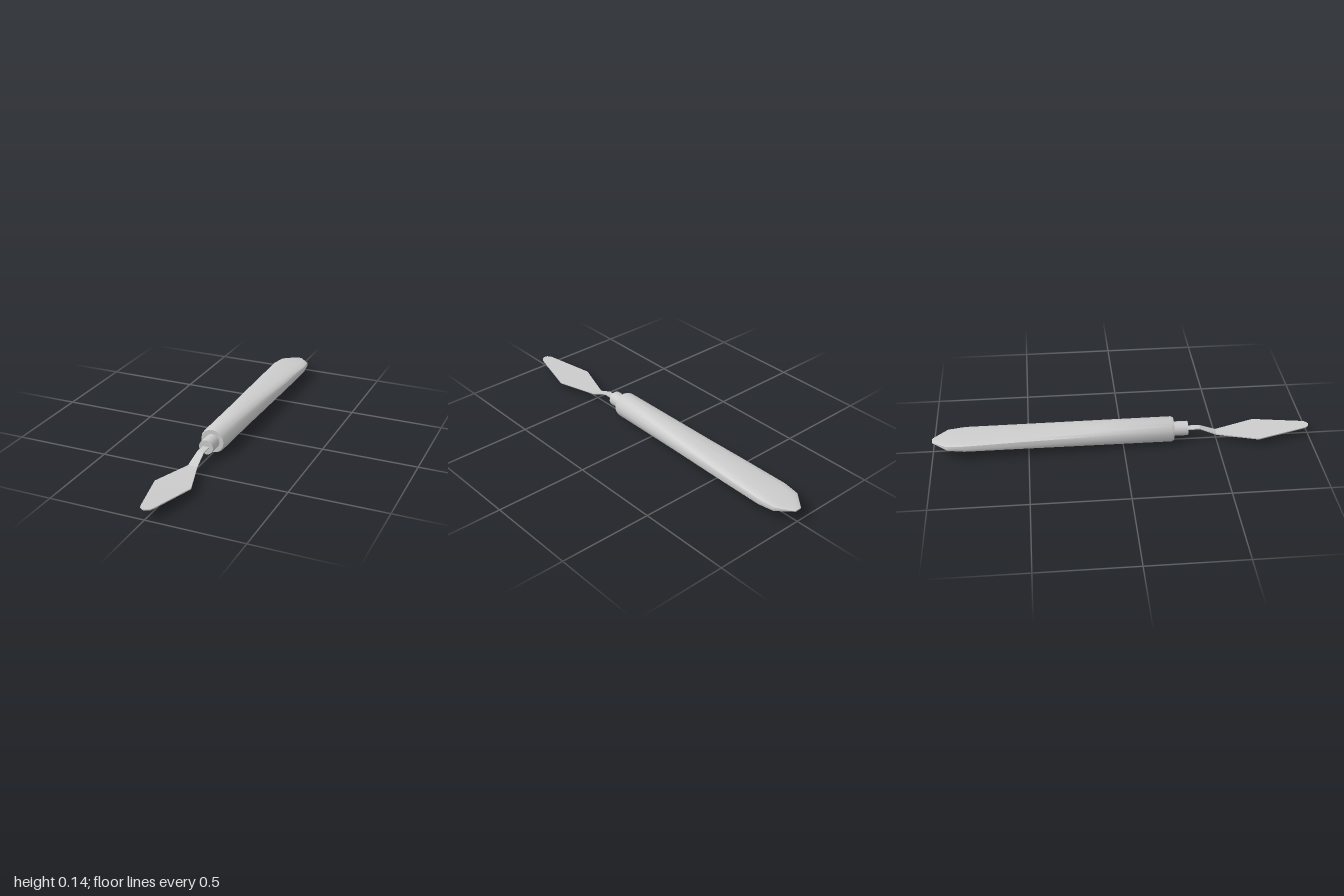
import * as THREE from 'three';
import { toCreasedNormals } from 'three/addons/utils/BufferGeometryUtils.js';

const AXIS_Y = 0.07;

// Skin a list of equal-length rings (counter-clockwise seen from +z, ordered back to front), with end caps
function loft(rings, crease) {
  const n = rings[0].length;
  const pos = rings.flat(2);
  const index = [];
  for (let i = 0; i < rings.length - 1; i++) {
    for (let j = 0; j < n; j++) {
      const a = i * n + j, b = i * n + (j + 1) % n;
      index.push(a, b, b + n, a, b + n, a + n);
    }
  }
  const last = (rings.length - 1) * n;
  for (let j = 1; j < n - 1; j++) {
    index.push(0, j + 1, j, last, last + j, last + j + 1);
  }
  const geo = new THREE.BufferGeometry();
  geo.setAttribute('position', new THREE.Float32BufferAttribute(pos, 3));
  geo.setIndex(index);
  return toCreasedNormals(geo, crease);
}

// Superellipse ring: power 1 is an ellipse, smaller is boxier
function ovalRing([z, halfW, halfH, power], sides = 16) {
  const bend = (v) => Math.sign(v) * Math.pow(Math.abs(v) < 1e-9 ? 0 : Math.abs(v), power);
  return Array.from({ length: sides }, (_, j) => {
    const t = (j / sides) * Math.PI * 2;
    return [halfW * bend(Math.cos(t)), AXIS_Y + halfH * bend(Math.sin(t)), z];
  });
}

// Flat rectangular ring for the sheet-metal blade
function stripRing([z, halfW, y], thick = 0.006) {
  const h = thick / 2;
  return [[halfW, y - h, z], [halfW, y + h, z], [-halfW, y + h, z], [-halfW, y - h, z]];
}

export function createModel() {
  const group = new THREE.Group();
  const material = new THREE.MeshStandardMaterial({ color: 0xcccccc });
  const add = (name, geo) => {
    const mesh = new THREE.Mesh(geo, material);
    mesh.name = name;
    group.add(mesh);
    return mesh;
  };

  // Handle: round at the ferrule, widening and flattening to a wedge at the back
  const handle = [
    [-1.0, 0.02, 0.003, 0.6],
    [-0.92, 0.086, 0.019, 0.55],
    [-0.83, 0.097, 0.027, 0.55],
    [-0.55, 0.09, 0.038, 0.65],
    [-0.15, 0.079, 0.053, 0.82],
    [0.255, 0.068, 0.068, 1],
    [0.268, 0.062, 0.062, 1],
  ];
  add('handle', loft(handle.map((s) => ovalRing(s)), 0.7));

  // Ferrule between handle and blade
  const ferrule = new THREE.CylinderGeometry(0.039, 0.039, 0.095, 16);
  ferrule.rotateX(Math.PI / 2);
  add('ferrule', ferrule).position.set(0, AXIS_Y, 0.2975);

  // Cranked shank flowing into the diamond blade with a rounded tip
  const blade = [
    [0.33, 0.018, 0.071],
    [0.41, 0.018, 0.071],
    [0.5, 0.025, 0.035],
    [0.715, 0.096, 0.04],
    [0.965, 0.034, 0.053],
    [0.985, 0.027, 0.054],
    [0.996, 0.015, 0.055],
    [1.0, 0.005, 0.055],
  ];
  add('blade', loft(blade.map((s) => stripRing(s)), 0.3));

  return group;
}
